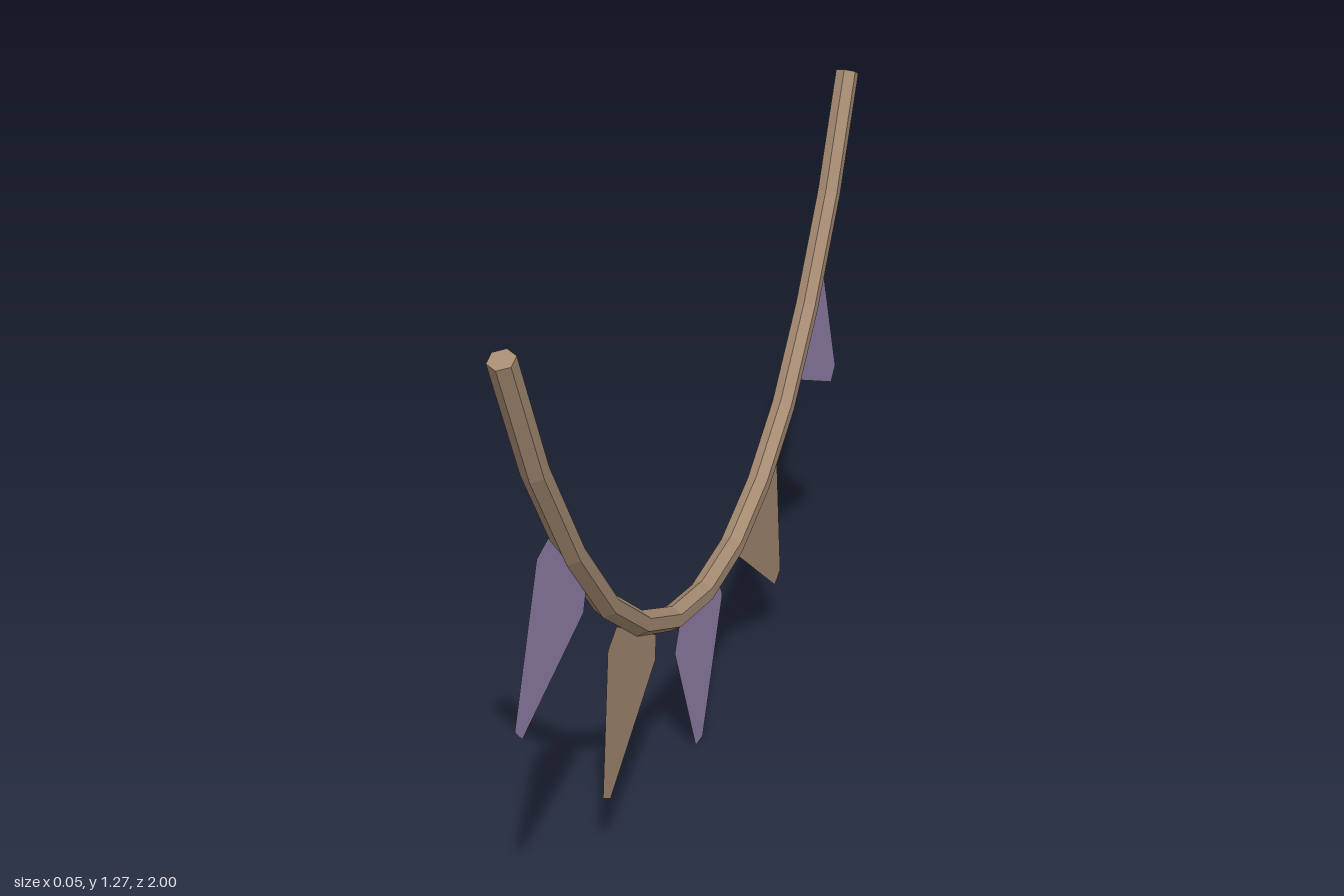
import * as THREE from 'three';

const RADIUS = 0.027;
const SIDES = 6;

// Six-sided rope swept through mitred rings, closed at both ends
function ropeGeometry() {
  const half = [[0.188, 0.384], [0.365, 0.46], [0.536, 0.584], [0.7, 0.77], [0.853, 1.0], [0.976, 1.258]];
  const path = [
    ...half.map(([z, y]) => new THREE.Vector3(0, y, -z)).reverse(),
    new THREE.Vector3(0, 0.358, 0),
    ...half.map(([z, y]) => new THREE.Vector3(0, y, z)),
  ];
  const last = path.length - 1;
  const positions = [];
  const index = [];
  path.forEach((p, i) => {
    const before = p.clone().sub(path[Math.max(i - 1, 0)]).normalize();
    const after = path[Math.min(i + 1, last)].clone().sub(p).normalize();
    const t = before.add(after).normalize();
    for (let j = 0; j < SIDES; j++) {
      const a = (j / SIDES) * Math.PI * 2;
      const n = Math.cos(a) * RADIUS;
      positions.push(Math.sin(a) * RADIUS, p.y + t.z * n, p.z - t.y * n);
    }
  });
  for (let i = 0; i < last; i++) {
    for (let j = 0; j < SIDES; j++) {
      const a = i * SIDES + j;
      const b = i * SIDES + ((j + 1) % SIDES);
      index.push(a, a + SIDES, b, b, a + SIDES, b + SIDES);
    }
  }
  const end = last * SIDES;
  for (let j = 1; j < SIDES - 1; j++) {
    index.push(0, j, j + 1, end, end + j + 1, end + j);
  }
  const indexed = new THREE.BufferGeometry();
  indexed.setAttribute('position', new THREE.Float32BufferAttribute(positions, 3));
  indexed.setIndex(index);
  const geometry = indexed.toNonIndexed();
  geometry.computeVertexNormals();
  return geometry;
}

// Tapered pennant with clipped corners, its tip at the origin
function pennantGeometry() {
  const side = [[0.022, 0], [0.147, 0.291], [0.122, 0.341]];
  const outline = [...side, ...side.map(([x, y]) => [-x, y]).reverse()];
  return new THREE.ShapeGeometry(new THREE.Shape(outline.map(([x, y]) => new THREE.Vector2(x, y))));
}

export function createModel() {
  const group = new THREE.Group();
  group.name = 'bunting';

  const brown = new THREE.MeshStandardMaterial({ color: 0xa68b72, side: THREE.DoubleSide });
  brown.name = 'brown';
  const purple = new THREE.MeshStandardMaterial({ color: 0x9383ac, side: THREE.DoubleSide });
  purple.name = 'purple';

  const rope = new THREE.Mesh(ropeGeometry(), brown);
  rope.name = 'rope';
  group.add(rope);

  // Pennants: tip z, tip y, tilt in degrees, colour
  const pennant = pennantGeometry();
  const places = [
    [0.958, 0.519, 45, purple],
    [0.551, 0.155, 30, brown],
    [0.02, 0, 0, purple],
    [-0.511, 0.155, -30, brown],
    [-0.918, 0.519, -45, purple],
  ];
  places.forEach(([z, y, tilt, material], i) => {
    const mesh = new THREE.Mesh(pennant, material);
    mesh.name = `pennant${i + 1}`;
    mesh.position.set(0, y, z);
    mesh.rotation.set(0, -Math.PI / 2, THREE.MathUtils.degToRad(tilt));
    group.add(mesh);
  });

  return group;
}
